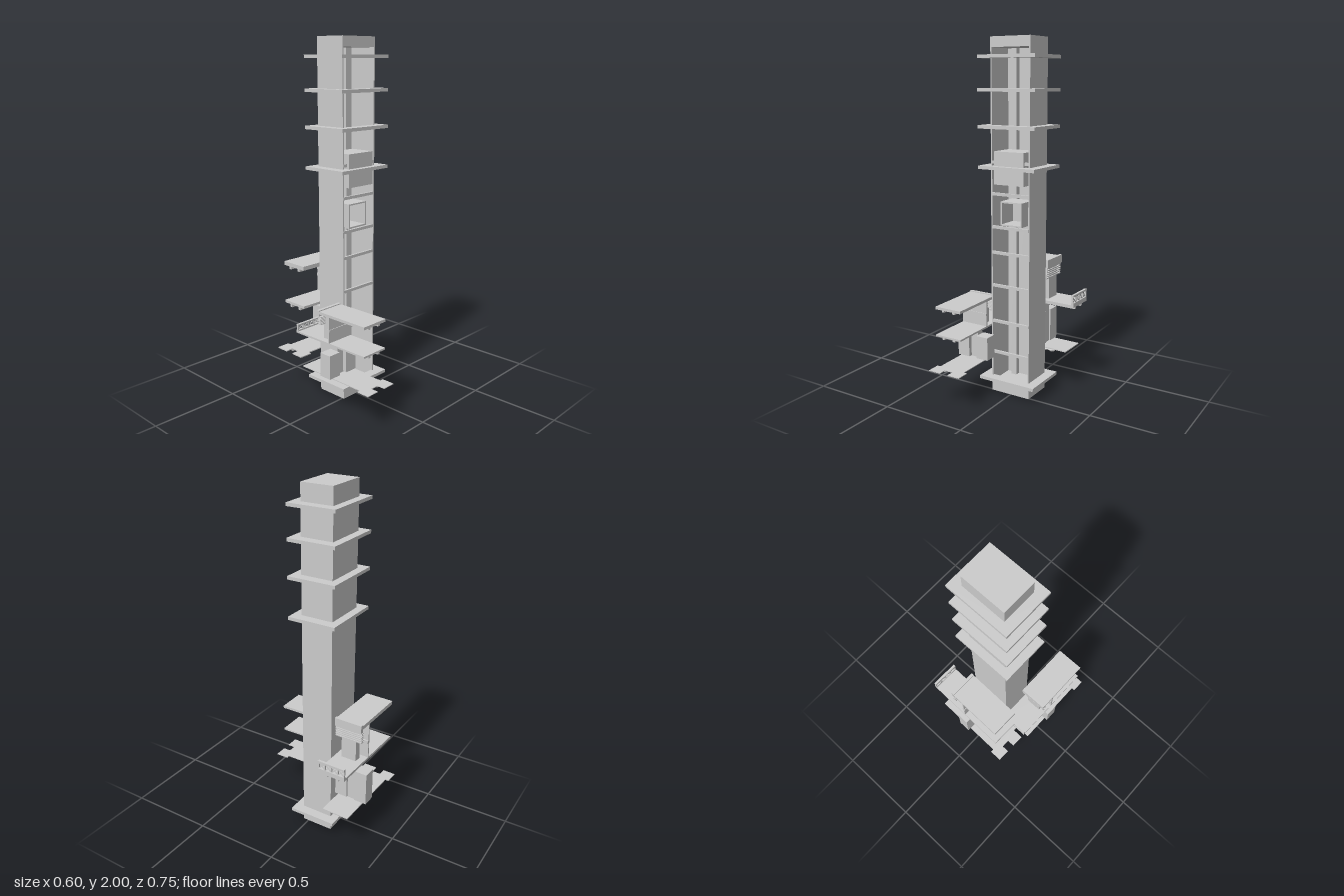
import * as THREE from 'three';

const grey = new THREE.MeshStandardMaterial({ color: 0xcccccc, flatShading: true, side: THREE.DoubleSide });

// Box given by its min/max on each axis
function box(parent, name, x0, x1, y0, y1, z0, z1) {
  const m = new THREE.Mesh(new THREE.BoxGeometry(x1 - x0, y1 - y0, z1 - z0), grey);
  m.position.set((x0 + x1) / 2, (y0 + y1) / 2, (z0 + z1) / 2);
  m.name = name;
  parent.add(m);
  return m;
}

function buildTower() {
  const g = new THREE.Group();
  g.name = 'tower';
  const L = -0.115, R = 0.13, B = -0.16, F = 0.025;

  // Open-fronted shaft
  box(g, 'shaftBackWall', L, R, 0.01, 2, B, B + 0.02);
  box(g, 'shaftRightWall', L, L + 0.008, 0.01, 2, B, F);
  box(g, 'shaftLeftWall', R - 0.008, R, 0.01, 2, B, F);
  box(g, 'shaftTop', L, R, 1.945, 2, B, F);
  box(g, 'shaftBase', L, R, 0.01, 0.07, B, F);

  // Guide rails against the back wall
  for (const x of [-0.05, 0.065]) {
    box(g, 'guideRail', x - 0.016, x + 0.016, 0.07, 1.945, B + 0.02, B + 0.05);
  }
  // Cross bars over the opening
  for (const y of [0.25, 0.435, 0.645, 0.835, 0.98, 1.165, 1.34]) {
    box(g, 'crossBar', L + 0.004, R - 0.004, y - 0.008, y + 0.008, F - 0.01, F + 0.002);
  }
  // Projecting ledges
  for (const y of [0.095, 1.312, 1.53, 1.725, 1.898]) {
    box(g, 'ledgeBack', -0.168, 0.185, y - 0.009, y + 0.009, -0.205, B + 0.01);
    box(g, 'ledgeFront', -0.168, 0.185, y - 0.009, y + 0.009, F - 0.01, 0.073);
    box(g, 'ledgeRight', -0.168, L + 0.004, y - 0.009, y + 0.009, B + 0.01, F - 0.01);
    box(g, 'ledgeLeft', R - 0.004, 0.185, y - 0.009, y + 0.009, B + 0.01, F - 0.01);
  }

  // Machine housing and open lift car
  box(g, 'machineHousing', -0.085, 0.1, 1.22, 1.4, -0.11, 0.04);
  const car = new THREE.Group();
  car.name = 'liftCar';
  g.add(car);
  box(car, 'carFloor', -0.06, 0.075, 0.99, 0.998, -0.11, 0.015);
  box(car, 'carRoof', -0.06, 0.075, 1.117, 1.125, -0.11, 0.015);
  box(car, 'carBack', -0.06, 0.075, 0.99, 1.125, -0.11, -0.102);
  for (const x of [-0.06, 0.067]) box(car, 'carSide', x, x + 0.008, 0.99, 1.125, -0.11, 0.015);

  // Small feet
  for (const x of [-0.06, 0.005, 0.075]) {
    for (const z of [-0.13, -0.01]) box(g, 'foot', x - 0.012, x + 0.012, 0, 0.01, z - 0.012, z + 0.012);
  }
  return g;
}

// Three-level platform stack: x across, z outward, lowest deck at y = 0
function buildPlatforms() {
  const g = new THREE.Group();
  const W = 0.082;

  // Lowest deck with a notched, flared end
  const half = [[0.08, -0.135], [0.08, 0.3], [0.1, 0.3], [0.1, 0.375], [0.025, 0.375], [0.025, 0.33]];
  const outline = [...half, ...half.slice().reverse().map(([x, z]) => [-x, z])];
  const deck = new THREE.Mesh(new THREE.ExtrudeGeometry(
    new THREE.Shape(outline.map(([x, z]) => new THREE.Vector2(x, z))),
    { depth: 0.004, bevelEnabled: false }).rotateX(Math.PI / 2), grey);
  deck.position.y = 0.004;
  deck.name = 'lowerDeck';
  g.add(deck);

  // Middle and upper decks with joists beneath
  box(g, 'middleDeck', -W, W, 0.19, 0.2, -0.18, 0.33);
  box(g, 'upperDeck', -W, W, 0.345, 0.36, 0, 0.33);
  for (const s of [-1, 1]) {
    const x = s * 0.035;
    box(g, 'lowerJoist', x - 0.008, x + 0.008, -0.009, 0, -0.05, 0.325);
    box(g, 'middleJoist', x - 0.008, x + 0.008, 0.177, 0.19, -0.17, 0.325);
    box(g, 'upperJoist', x - 0.008, x + 0.008, 0.333, 0.345, 0.01, 0.325);
    // Cabinets standing on the lowest deck
    box(g, 'cabinet', x + s * 0.0275 - 0.0375, x + s * 0.0275 + 0.0375, 0.004, 0.138, 0.028, 0.1);
  }

  // Upper lip and louvred fascia
  box(g, 'upperLip', -W, W, 0.333, 0.365, -0.014, 0.004);
  for (let i = 0; i < 6; i++) {
    box(g, 'louvre', -W, W, 0.287 + i * 0.0078, 0.291 + i * 0.0078, -0.006, 0.014);
  }

  // Posts and panel carrying the upper decks
  box(g, 'lowerPost', -0.022, 0.022, 0, 0.19, 0.035, 0.08);
  box(g, 'upperCore', -0.045, 0.045, 0.2, 0.345, 0, 0.04);
  box(g, 'upperPanel', -W, W, 0.2, 0.345, 0.07, 0.078);
  box(g, 'panelRail', -W, W, 0.262, 0.275, 0.062, 0.082);

  // End railing with crossed braces
  const rail = new THREE.Group();
  rail.name = 'railing';
  g.add(rail);
  for (const y of [0.2, 0.232]) box(rail, 'railBar', -W, W, y, y + 0.008, -0.18, -0.166);
  for (let i = 0; i <= 4; i++) {
    const x = -0.079 + i * 0.0395;
    box(rail, 'railPost', x - 0.003, x + 0.003, 0.2, 0.24, -0.178, -0.168);
    if (i === 4) break;
    for (const s of [-1, 1]) {
      box(rail, 'railBrace', x - 0.002, x + 0.0415, 0.2175, 0.2215, -0.175, -0.171).rotation.z = s * 0.58;
    }
  }

  // Turned pendants under the lowest deck
  const profile = [[0, -0.03], [0.018, -0.03], [0.024, -0.024], [0.009, -0.02], [0.009, -0.014], [0.026, -0.008], [0.026, 0]]
    .map(([r, y]) => new THREE.Vector2(r, y));
  for (const z of [0, 0.04]) {
    const p = new THREE.Mesh(new THREE.LatheGeometry(profile, 12), grey);
    p.position.z = z;
    p.name = 'pendant';
    g.add(p);
  }
  return g;
}

export function createModel() {
  const model = new THREE.Group();
  model.name = 'liftTower';
  model.add(buildTower());

  // Side stack reaching forward
  const side = buildPlatforms();
  side.name = 'sidePlatforms';
  side.position.set(-0.1975, 0.213, 0);
  model.add(side);

  // Taller rear stack, turned sideways
  const rear = buildPlatforms();
  rear.name = 'rearPlatforms';
  rear.position.set(0.12, 0.245, -0.265);
  rear.rotation.y = -Math.PI / 2 - 0.02;
  rear.scale.y = 1.45;
  model.add(rear);
  return model;
}
